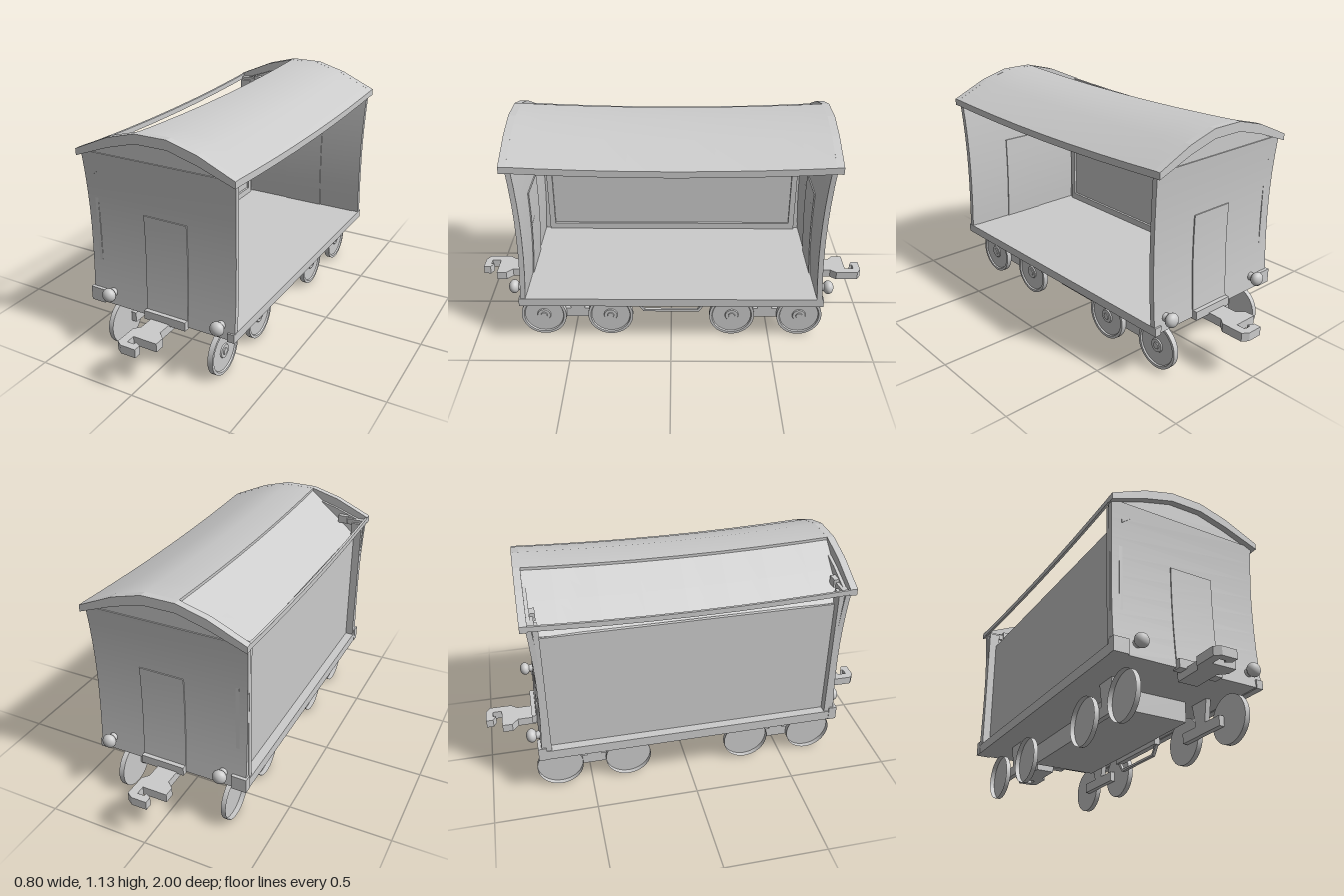
import * as THREE from 'three';
import { toCreasedNormals } from 'three/addons/utils/BufferGeometryUtils.js';

const mat = new THREE.MeshStandardMaterial({ color: 0xcccccc });
const thin = new THREE.MeshStandardMaterial({ color: 0xcccccc, side: THREE.DoubleSide });

// Roof profile: upper and lower lines across x
const topLine = [[-0.4, 1.012], [-0.225, 1.09], [-0.08, 1.13], [0.08, 1.13], [0.225, 1.09], [0.4, 1.012]];
const lowLine = [[-0.4, 0.98], [-0.225, 1.045], [-0.08, 1.085], [0.08, 1.085], [0.225, 1.045], [0.4, 0.98]];
const stations = [0.74, 0.6, 0.4, 0.2, 0, -0.2, -0.4, -0.6, -0.74];

export function createModel() {
  const model = new THREE.Group();

  function add(name, geometry, x = 0, y = 0, z = 0, material = mat, parent = model) {
    const m = new THREE.Mesh(geometry, material);
    m.name = name;
    m.position.set(x, y, z);
    parent.add(m);
    return m;
  }
  // Box given by its limits on each axis
  function block(name, x0, x1, y0, y1, z0, z1, parent = model) {
    return add(name, new THREE.BoxGeometry(x1 - x0, y1 - y0, Math.abs(z1 - z0)),
      (x0 + x1) / 2, (y0 + y1) / 2, (z0 + z1) / 2, mat, parent);
  }
  // Flat outline pushed out along z
  function plate(points, depth) {
    const shape = new THREE.Shape(points.map(([x, y]) => new THREE.Vector2(x, y)));
    return new THREE.ExtrudeGeometry(shape, { depth, bevelEnabled: false });
  }
  // Sweep a closed section along z with a gentle sag in the middle
  function sweep(section) {
    const pos = [], idx = [], n = section.length;
    for (const z of stations)
      for (const [x, y] of section) pos.push(x, y - 0.02 * (1 - (z / 0.74) ** 2), z);
    for (let i = 0; i < stations.length - 1; i++)
      for (let j = 0; j < n; j++) {
        const k = (j + 1) % n, a = i * n + j, b = i * n + k;
        idx.push(a, b, b + n, a, b + n, a + n);
      }
    const g = new THREE.BufferGeometry();
    g.setAttribute('position', new THREE.Float32BufferAttribute(pos, 3));
    g.setIndex(idx);
    return toCreasedNormals(g, 0.5);
  }

  // Roof over the open side, a lower sloping cover over the other, and a rail along its eave
  add('roof', sweep([...topLine.slice(2), ...lowLine.slice(2).reverse()]));
  add('roofCover', sweep([[-0.335, 0.915], [-0.2, 1.022], [-0.078, 1.118], [-0.078, 1.09], [-0.2, 1.0], [-0.335, 0.895]]));
  add('eaveRail', sweep([[-0.4, 1.01], [-0.388, 1.01], [-0.388, 0.985], [-0.4, 0.985]]));

  // Floor and side sills
  block('floor', -0.37, 0.375, 0.25, 0.285, -0.73, 0.73);
  block('leftSill', 0.345, 0.38, 0.245, 0.287, -0.75, 0.75);
  block('rightSill', -0.388, -0.33, 0.25, 0.3, -0.74, 0.74);

  // Closed side wall with a raised strip along its foot
  block('rightWall', -0.345, -0.328, 0.285, 0.91, -0.73, 0.73);
  block('wallStrip', -0.33, -0.315, 0.285, 0.32, -0.69, 0.69);

  // Both ends
  for (const s of [1, -1]) {
    const end = new THREE.Group();
    end.name = s > 0 ? 'frontEnd' : 'backEnd';
    model.add(end);

    // Panel that follows the waist of the end wall
    function waisted(name, width, height, depth, x, y0) {
      const g = new THREE.BoxGeometry(width, height, depth, 1, 8, 1);
      const p = g.attributes.position;
      for (let i = 0; i < p.count; i++) {
        const y = p.getY(i) + y0 + height / 2, bow = ((y - 0.62) / 0.37) ** 2;
        const flare = y > 0.62 ? 1 + 0.025 * bow : 1;
        p.setXYZ(i, p.getX(i) * flare + x, y, p.getZ(i) + s * (0.714 + 0.018 * bow));
      }
      g.computeVertexNormals();
      add(name, toCreasedNormals(g, 0.6), 0, 0, 0, mat, end);
    }
    waisted('endWall', 0.76, 0.75, 0.025, -0.002, 0.25);
    waisted('door', 0.22, 0.495, 0.036, 0.03, 0.25);
    add('endArch', plate([[-0.385, 0.985], [0.385, 0.985], ...lowLine.slice(1, 5).reverse()], 0.02),
      0, 0, s > 0 ? 0.72 : -0.74, mat, end);
    add('roofFascia', plate([...lowLine, ...[...topLine].reverse()], 0.035), 0, 0, s > 0 ? 0.735 : -0.77, mat, end);

    // Posts, corner block, rail bracket and its knob, door step
    block('rightPost', -0.384, -0.328, 0.29, 0.985, s * 0.69, s * 0.715, end);
    block('innerPost', -0.33, -0.315, 0.285, 0.905, s * 0.66, s * 0.69, end);
    block('cornerBlock', -0.39, -0.315, 0.25, 0.32, s * 0.715, s * 0.755, end);
    block('railBracket', -0.385, -0.3, 0.97, 1.0, s * 0.705, s * 0.725, end);
    block('bracketKnob', -0.3, -0.25, 0.975, 1.015, s * 0.695, s * 0.725, end);
    block('doorStep', -0.08, 0.14, 0.242, 0.285, s * 0.72, s * 0.768, end);

    // Buffers
    for (const x of [-0.27, 0.31]) {
      const stem = add('bufferStem', new THREE.CylinderGeometry(0.017, 0.022, 0.05, 16), x, 0.315, s * 0.745, mat, end);
      stem.rotation.x = s * Math.PI / 2;
      add('bufferHead', new THREE.SphereGeometry(0.034, 24, 16), x, 0.315, s * 0.778, mat, end).scale.z = 0.78;
    }

    // Hook coupler, turned half round at the back
    const hook = plate([[-0.045, 0.7], [0.055, 0.7], [0.055, 0.84], [0.09, 0.87], [0.09, 0.92], [-0.03, 0.92],
      [-0.03, 0.965], [0.005, 0.965], [0.005, 0.95], [0.035, 0.965], [0.035, 1], [-0.04, 1], [-0.07, 0.98],
      [-0.07, 0.87], [-0.045, 0.84]], 0.042);
    hook.rotateX(Math.PI / 2);
    if (s < 0) hook.rotateY(Math.PI);
    add('coupler', hook, s > 0 ? 0 : 0.01, 0.25, 0, mat, end);
  }

  // Underframe box with a hanging side plate and rod
  block('underframe', -0.17, 0.17, 0.15, 0.252, -0.45, 0.45);
  block('sidePlate', 0.17, 0.2, 0.128, 0.25, -0.185, 0.185);
  const rod = plate([[-0.18, 0.13], [-0.145, 0.08], [0.145, 0.08], [0.18, 0.13], [0.165, 0.13],
    [0.138, 0.091], [-0.138, 0.091], [-0.165, 0.13]], 0.016);
  add('trussRod', rod, 0.18, 0, 0).rotation.y = Math.PI / 2;

  // Wheel hangers with their axle bars
  const hanger = plate([[-0.055, 0.252], [-0.035, 0.14], [-0.14, 0.14], [-0.14, 0.09], [0.14, 0.09],
    [0.14, 0.14], [0.035, 0.14], [0.055, 0.252]], 0.026);
  for (const z of [0.48, -0.48])
    for (const x of [-0.27, 0.226]) add('wheelHanger', hanger, x, 0, z).rotation.y = Math.PI / 2;

  // Wheels: hubs on one side, plain open dishes on the other
  const profile = [[0, -0.013], [0.115, -0.013], [0.115, 0.013], [0.102, 0.013], [0.098, 0.006], [0.035, 0.006],
    [0.032, 0.012], [0.017, 0.012], [0.015, 0.016], [0, 0.016]].map(([r, h]) => new THREE.Vector2(r, h));
  const hubWheel = toCreasedNormals(new THREE.LatheGeometry(profile, 36), 0.5);
  const dish = toCreasedNormals(new THREE.LatheGeometry(
    [[0, 0.012], [0.115, 0.012], [0.115, -0.012]].map(([r, h]) => new THREE.Vector2(r, h)), 36), 0.5);
  for (const z of [0.652, 0.31, -0.31, -0.655]) {
    add('leftWheel', hubWheel, 0.265, 0.115, z).rotation.z = -Math.PI / 2;
    add('rightWheel', dish, -0.283, 0.115, z, thin).rotation.z = -Math.PI / 2;
  }
  return model;
}
